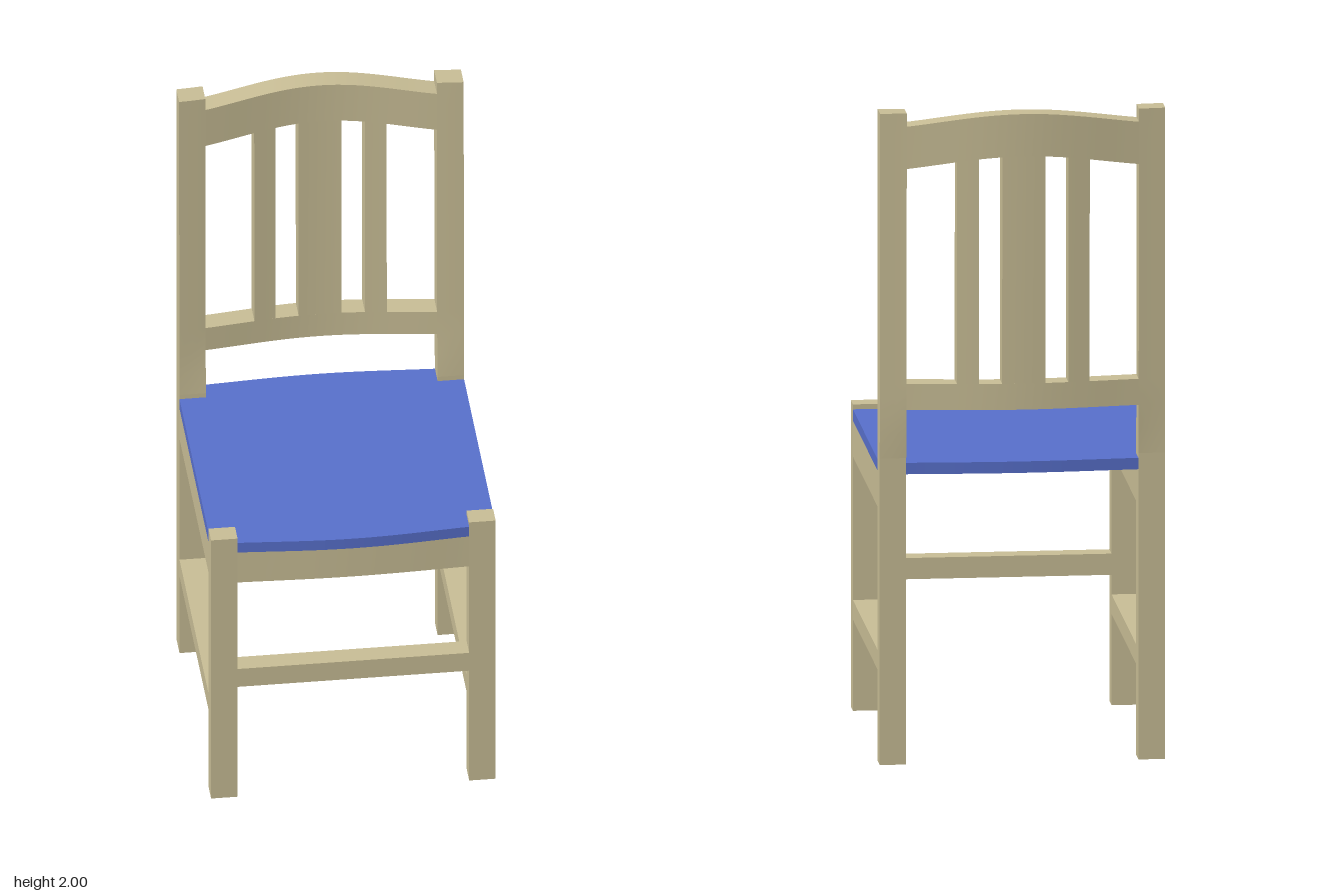
import * as THREE from 'three';

const wood = new THREE.MeshStandardMaterial({ color: 0xc9be96 });
const fabric = new THREE.MeshStandardMaterial({ color: 0x5870cc });

const POST_IN = 0.35, POST_OUT = 0.43; // leg faces in x
const FRONT = [0.372, 0.435], BACK = [-0.408, -0.34]; // leg faces in z
const SEAT_LEG_TOP = 0.94;

// Bell-shaped curve across the width: 1 in the middle, near 0 at the legs
const bell = (x) => (1 + Math.cos(Math.PI * x / 0.5)) / 2;

// Backward bow and slight lean of the backrest
function backrestShift(x, y) {
  const blend = Math.min(1, Math.max(0, (y - SEAT_LEG_TOP) / 0.15));
  return -0.041 * bell(x) * blend - 0.008 * Math.max(0, y - SEAT_LEG_TOP) / 1.06;
}

// Box between two limits per axis; bend(v) moves its vertices if given
function bar(name, [x0, x1], [y0, y1], [z0, z1], bend, sx = 1, sy = 1) {
  const g = new THREE.BoxGeometry(x1 - x0, y1 - y0, z1 - z0, sx, sy, 1);
  g.translate((x0 + x1) / 2, (y0 + y1) / 2, (z0 + z1) / 2);
  if (bend) {
    const p = g.attributes.position, v = new THREE.Vector3();
    for (let i = 0; i < p.count; i++) {
      v.fromBufferAttribute(p, i);
      bend(v);
      p.setXYZ(i, v.x, v.y, v.z);
    }
    g.computeVertexNormals();
  }
  const m = new THREE.Mesh(g, wood);
  m.name = name;
  return m;
}

const bowBack = (v) => { v.z += backrestShift(v.x, v.y); };

// Seat panel: curved front and back edges, notched around the four legs
function seat() {
  const pts = [], n = 24;
  const add = (x, z) => pts.push(new THREE.Vector2(x, -z));
  for (let i = 0; i <= n; i++) {
    const x = -POST_IN + 2 * POST_IN * i / n;
    add(x, 0.431 + 0.025 * bell(x));
  }
  add(POST_IN, FRONT[0]);
  add(POST_OUT, FRONT[0]);
  add(POST_OUT, BACK[1]);
  add(POST_IN, BACK[1]);
  for (let i = 0; i <= n; i++) {
    const x = POST_IN - 2 * POST_IN * i / n;
    add(x, -0.402 - 0.02 * bell(x));
  }
  add(-POST_IN, BACK[1]);
  add(-POST_OUT, BACK[1]);
  add(-POST_OUT, FRONT[0]);
  add(-POST_IN, FRONT[0]);
  const g = new THREE.ExtrudeGeometry(new THREE.Shape(pts), { depth: 0.035, bevelEnabled: false });
  g.rotateX(-Math.PI / 2).translate(0, 0.89, 0);
  const m = new THREE.Mesh(g, fabric);
  m.name = 'seat';
  return m;
}

export function createModel() {
  const chair = new THREE.Group();
  chair.name = 'chair';
  const across = [-POST_IN, POST_IN];
  const between = [BACK[1], FRONT[0]];

  // Legs, side aprons and side stretchers
  for (const [side, xs] of [['left', [POST_IN, POST_OUT]], ['right', [-POST_OUT, -POST_IN]]]) {
    chair.add(
      bar(side + 'FrontLeg', xs, [0, SEAT_LEG_TOP], FRONT),
      bar(side + 'BackLeg', xs, [0, SEAT_LEG_TOP], BACK),
      bar(side + 'BackPost', xs, [SEAT_LEG_TOP, 2], BACK, bowBack, 2, 14),
      bar(side + 'Apron', xs, [0.78, 0.89], between),
      bar(side + 'Stretcher', xs, [0.28, 0.34], between),
    );
  }

  // Front apron bows outward, front stretcher is straight
  chair.add(
    bar('frontApron', across, [0.78, 0.89], FRONT, (v) => { v.z += 0.013 * bell(v.x) - 0.003; }, 24),
    bar('frontStretcher', across, [0.4, 0.465], FRONT),
    seat(),
  );

  // Backrest: arched top rail, lower rail and three slats
  const backrest = new THREE.Group();
  backrest.name = 'backrest';
  const arch = (x) => 0.048 * bell(x);
  backrest.add(
    bar('topRail', across, [1.82, 1.95], BACK, (v) => { v.y += arch(v.x); bowBack(v); }, 28),
    bar('lowerRail', across, [1.09, 1.17], BACK, bowBack, 28),
  );
  for (const [name, xs] of [['rightSlat', [-0.2, -0.135]], ['middleSlat', [-0.065, 0.065]], ['leftSlat', [0.135, 0.2]]]) {
    backrest.add(bar(name, xs, [1.17, 1.82], BACK, (v) => {
      if (v.y > 1.5) v.y += arch(v.x);
      bowBack(v);
    }, 6));
  }
  chair.add(backrest);
  return chair;
}
